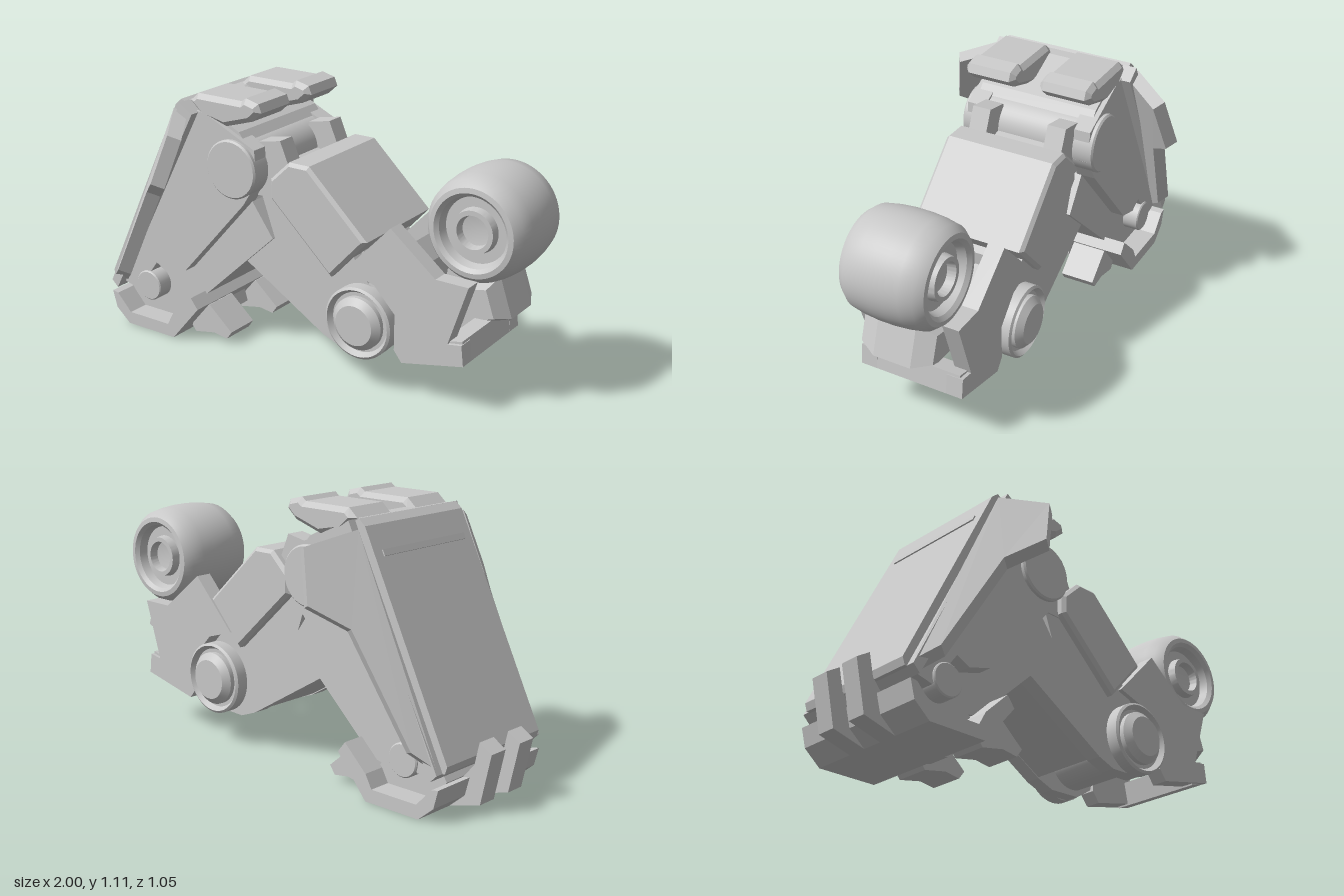
import * as THREE from 'three';
import { toCreasedNormals } from 'three/addons/utils/BufferGeometryUtils.js';

export function createModel() {
  const root = new THREE.Group();
  root.name = 'mechanicalLeg';
  const grey = new THREE.MeshStandardMaterial({ color: 0xc8c8c8 });
  grey.name = 'grey metal';

  const add = (name, geometry) => {
    const mesh = new THREE.Mesh(geometry, grey);
    mesh.name = name;
    root.add(mesh);
    return mesh;
  };

  // Side profile (x, y) extruded from z0 to z1, with an optional chamfer (inset, depth)
  const slab = (name, pts, z0, z1, inset = 0, depth = inset) => {
    const shape = new THREE.Shape(pts.map(([x, y]) => new THREE.Vector2(x, y)));
    const geo = new THREE.ExtrudeGeometry(shape, {
      depth: z1 - z0 - 2 * depth, bevelEnabled: inset > 0, bevelSegments: 1,
      bevelSize: inset, bevelThickness: depth, bevelOffset: -inset,
    });
    geo.translate(0, 0, z0 + depth);
    return add(name, geo);
  };
  const slabPair = (name, pts, z0, z1, inset = 0) => {
    slab(name + 'Left', pts, z0, z1, inset);
    slab(name + 'Right', pts, -z1, -z0, inset);
  };

  // Turned part on a z axis; profile is [radius, z]
  const turned = (name, x, y, profile, segments = 48) => {
    const lathe = new THREE.LatheGeometry(profile.map(([r, z]) => new THREE.Vector2(r, z)), segments);
    const geo = toCreasedNormals(lathe, 0.5);
    geo.rotateX(Math.PI / 2);
    geo.translate(x, y, 0);
    return add(name, geo);
  };
  // Mirror half a turned profile so both ends match
  const symmetric = (half) => [...half.map(([r, z]) => [r, -z]), ...half.slice().reverse()];

  // Slanted back plate with a raised centre and a slot bar
  slab('backPlate', [[-0.47, 1.06], [-0.9, 0.19], [-0.87, 0.16], [-0.41, 1.02]], -0.32, 0.32);
  slab('backPlateCentre', [[-0.49, 1.065], [-0.52, 1.04], [-0.92, 0.22], [-0.91, 0.19], [-0.87, 0.18], [-0.46, 1.05]], -0.285, 0.285);
  slab('slotBar', [[-0.568, 0.955], [-0.578, 0.933], [-0.56, 0.922], [-0.55, 0.945]], -0.24, 0.24);

  // Flared side wings, as two offset planar loops joined by a rim
  const wingLoop = [
    [-0.51, 1.03, 0.31], [-0.4, 0.975, 0.48], [-0.46, 0.775, 0.523],
    [-0.578, 0.69, 0.42], [-0.818, 0.27, 0.365], [-0.89, 0.21, 0.31],
  ];
  const wing = (name, side) => {
    const front = wingLoop.map(([x, y, z]) => [x + 0.045, y - 0.02, z - 0.03]);
    const pos = [];
    const tri = (a, b, c) => {
      for (const p of side > 0 ? [a, b, c] : [a, c, b]) pos.push(p[0], p[1], p[2] * side);
    };
    const n = wingLoop.length;
    // Fan around the notch corner
    for (const [a, b, c] of [[0, 1, 3], [1, 2, 3], [0, 3, 4], [0, 4, 5]]) {
      tri(wingLoop[a], wingLoop[b], wingLoop[c]);
      tri(front[a], front[c], front[b]);
    }
    for (let i = 0; i < n; i++) {
      const j = (i + 1) % n;
      tri(wingLoop[i], front[j], wingLoop[j]);
      tri(wingLoop[i], front[i], front[j]);
    }
    // Orient the shell outwards using its signed volume
    let volume = 0;
    for (let i = 0; i < pos.length; i += 9) {
      const [a, b, c] = [0, 3, 6].map((k) => new THREE.Vector3().fromArray(pos, i + k));
      volume += a.dot(b.cross(c));
    }
    if (volume < 0) {
      for (let i = 0; i < pos.length; i += 9) {
        for (let k = 0; k < 3; k++) [pos[i + 3 + k], pos[i + 6 + k]] = [pos[i + 6 + k], pos[i + 3 + k]];
      }
    }
    const geo = new THREE.BufferGeometry();
    geo.setAttribute('position', new THREE.Float32BufferAttribute(pos, 3));
    geo.computeVertexNormals();
    add(name, geo);
  };
  wing('wingLeft', 1);
  wing('wingRight', -1);

  // Shin side plates and lower core
  slabPair('shinPlate', [[-0.45, 1.03], [-0.37, 1.02], [-0.13, 0.91], [-0.12, 0.78], [-0.19, 0.67],
    [-0.51, 0.31], [-0.61, 0.28], [-0.67, 0.31], [-0.78, 0.16], [-0.86, 0.18]], 0.2, 0.28);
  slab('shinCore', [[-0.47, 0.98], [-0.25, 0.78], [-0.19, 0.67], [-0.09, 0.53], [-0.51, 0.14], [-0.6, 0.12], [-0.86, 0.2]], -0.22, 0.22);
  turned('upperPivot', -0.237, 0.815, symmetric([[0, 0.3], [0.115, 0.3], [0.122, 0.293]]));
  turned('anklePivot', -0.715, 0.195, symmetric([[0, 0.29], [0.062, 0.29], [0.067, 0.285]]), 32);

  // Chamfered claw pads on top and the deck between them
  slabPair('topPad', [[-0.46, 1.06], [-0.42, 1.095], [-0.2, 1.095], [-0.18, 1.11], [-0.12, 1.095],
    [-0.105, 1.06], [-0.15, 1.02], [-0.28, 0.98], [-0.4, 1.005]], 0.055, 0.28, 0.02);
  slab('topDeck', [[-0.47, 1.06], [-0.42, 1.06], [-0.22, 0.965], [-0.19, 0.93], [-0.42, 0.95]], -0.26, 0.26);

  // Foot: cupped sole, heel tabs and toes
  slab('footSole', [[-0.905, 0.135], [-0.885, 0.06], [-0.815, 0], [-0.56, 0], [-0.42, 0.165], [-0.455, 0.21],
    [-0.56, 0.11], [-0.59, 0.055], [-0.805, 0.055], [-0.875, 0.13]], -0.315, 0.315);
  slab('footCore', [[-0.87, 0.13], [-0.8, 0.03], [-0.59, 0.03], [-0.55, 0.12], [-0.62, 0.22], [-0.8, 0.24]], -0.22, 0.22);
  slabPair('heelTab', [[-1, 0.245], [-0.945, 0.28], [-0.925, 0.19], [-0.875, 0.13], [-0.8, 0.05],
    [-0.815, 0], [-0.955, 0.04]], 0.045, 0.13);
  slabPair('toe', [[-0.52, 0.04], [-0.49, 0.13], [-0.42, 0.16], [-0.305, 0.06], [-0.33, 0.025],
    [-0.4, 0.035], [-0.5, 0.015]], 0.085, 0.235);
  slab('midToe', [[-0.57, 0.01], [-0.52, 0.12], [-0.46, 0.14], [-0.44, 0.07], [-0.5, 0.03]], -0.05, 0.05);

  // Upper arm: narrow core between two side plates that carry the knee
  slab('armCore', [[-0.2, 0.84], [-0.02, 0.8], [0.1, 0.8], [0.32, 0.52], [0.3, 0.3], [0.15, 0.17], [-0.24, 0.4], [-0.09, 0.53]], -0.15, 0.15);
  slabPair('armSide', [[-0.2, 0.84], [-0.02, 0.8], [0.1, 0.8], [0.36, 0.44], [0.45, 0.4], [0.49, 0.3], [0.46, 0.19],
    [0.38, 0.14], [0.23, 0.135], [0.15, 0.165], [-0.24, 0.4], [-0.09, 0.53]], 0.14, 0.205);
  slabPair('armTab', [[-0.16, 0.925], [-0.055, 0.945], [-0.01, 0.84], [-0.06, 0.7], [-0.18, 0.7]], 0.13, 0.21);
  slab('armCover', [[-0.085, 0.79], [0.005, 0.875], [0.1, 0.875], [0.37, 0.62], [0.205, 0.44], [-0.085, 0.71]], -0.245, 0.245, 0.014);

  // Knee joint: stepped, ringed caps on an axle
  turned('kneeHub', 0.345, 0.285, symmetric([[0, 0.285], [0.083, 0.285], [0.11, 0.26], [0.11, 0.24],
    [0.125, 0.24], [0.14, 0.262], [0.15, 0.255], [0.15, 0.2], [0.12, 0.2]]));

  // Lower fork with an open middle, front bar and fender block
  slabPair('forkArm', [[0.27, 0.49], [0.47, 0.7], [0.67, 0.54], [0.81, 0.54], [0.73, 0.29], [0.79, 0.3],
    [0.8, 0.215], [0.53, 0.155], [0.495, 0.2], [0.495, 0.35], [0.4, 0.45]], 0.155, 0.225);
  slab('forkFrontBar', [[0.7, 0.29], [0.785, 0.31], [0.8, 0.215], [0.72, 0.19]], -0.21, 0.21);
  slab('forkBridge', [[0.32, 0.46], [0.46, 0.58], [0.52, 0.5], [0.5, 0.34], [0.42, 0.4]], -0.16, 0.16);
  slab('fenderBlock', [[0.7, 0.5], [0.76, 0.53], [0.865, 0.55], [0.92, 0.39], [0.85, 0.365], [0.74, 0.36]], -0.155, 0.155, 0.03, 0.075);

  // Barrel wheel with recessed rims and hubs
  turned('wheel', 0.783, 0.732, symmetric([[0, 0.12], [0.06, 0.13], [0.066, 0.165], [0.085, 0.165], [0.09, 0.13],
    [0.13, 0.13], [0.14, 0.165], [0.155, 0.18], [0.175, 0.177], [0.2, 0.145], [0.21, 0.09], [0.215, 0.03]]), 64);

  return root;
}
